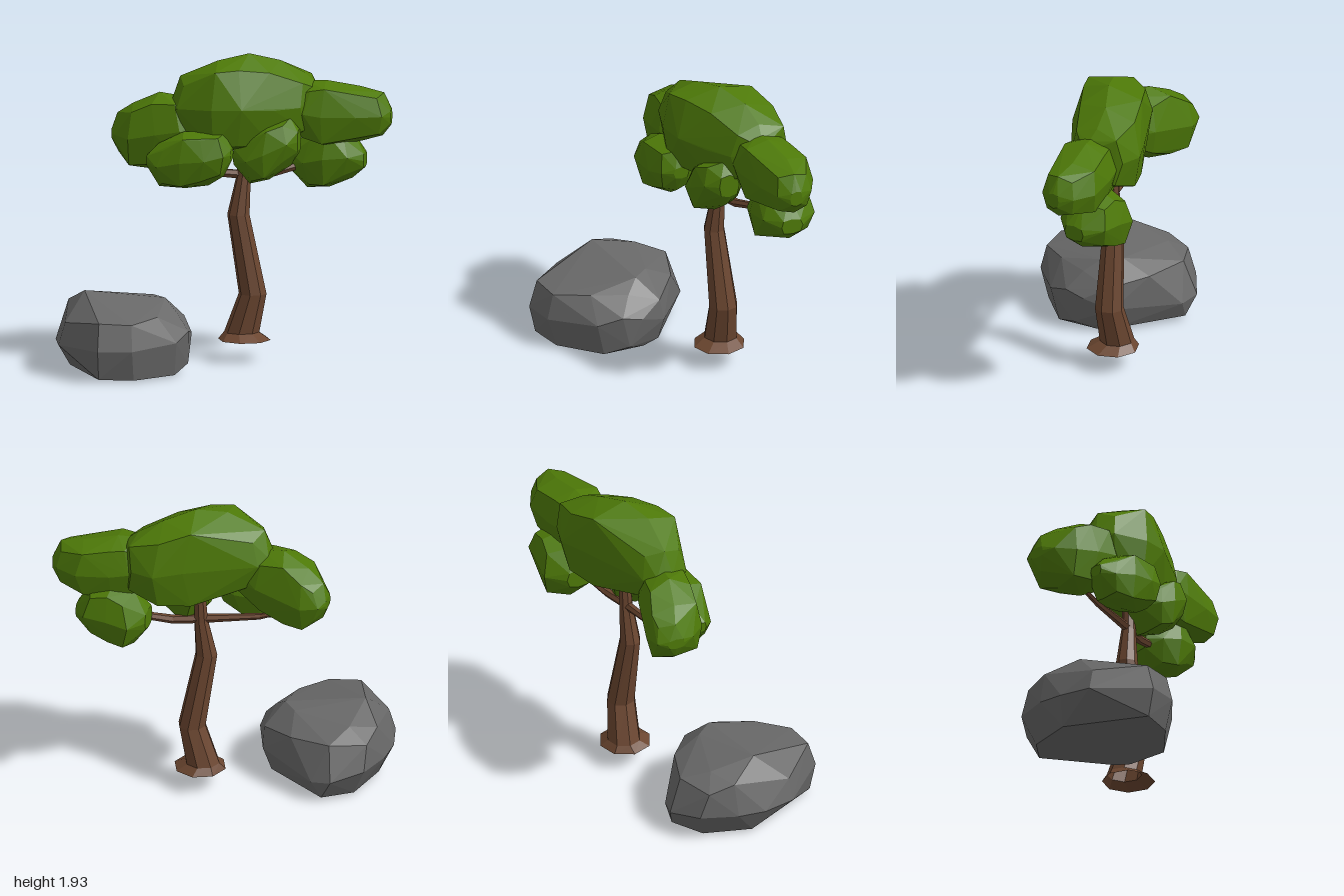
import * as THREE from 'three';
import { ConvexGeometry } from 'three/addons/geometries/ConvexGeometry.js';

const mat = (color, side = THREE.FrontSide) =>
  new THREE.MeshStandardMaterial({ color, flatShading: true, side });
const leafMat = mat(0x4e7a08);
const barkMat = mat(0x6b4630, THREE.DoubleSide);
const rockMat = mat(0x686868);

function add(group, name, geometry, material) {
  const mesh = new THREE.Mesh(geometry, material);
  mesh.name = name;
  group.add(mesh);
}

// Faceted leaf clump: hull of octagonal sections [x, yLow, yHigh, zBack, zFront]
function clump(sections) {
  const pts = [];
  sections.forEach(([x, y0, y1, z0, z1], s) => {
    const inner = s > 0 && s < sections.length - 1;
    for (let k = 0; k < 8; k++) {
      const a = k * Math.PI / 4;
      const swell = k % 2 ? 1.13 + 0.05 * Math.sin(2 * k + 3 * s) : 1;
      const skew = inner ? 0.02 * Math.sin(3 * k + 5 * s) : 0; // uneven facets
      pts.push(new THREE.Vector3(
        x + skew,
        (y0 + y1) / 2 + Math.sin(a) * swell * (y1 - y0) / 2,
        (z0 + z1) / 2 + Math.cos(a) * swell * (z1 - z0) / 2,
      ));
    }
  });
  return new ConvexGeometry(pts);
}

// Tapered limb through rings of [x, y, z, radiusX, radiusZ]
function limb(rings, sides, upright) {
  const n = rings.length - 1;
  const g = new THREE.CylinderGeometry(1, 1, 1, sides, n, true);
  const pos = g.attributes.position;
  for (let i = 0; i < pos.count; i++) {
    const [x, y, z, rx, rz] = rings[Math.round((pos.getY(i) + 0.5) * n)];
    const u = pos.getX(i), v = pos.getZ(i);
    if (upright) pos.setXYZ(i, x + u * rx, y, z + v * rz);
    else pos.setXYZ(i, x, y - u * rx, z + v * rz); // sideways, towards +x
  }
  g.computeVertexNormals();
  return g;
}

export function createModel() {
  const model = new THREE.Group();
  model.name = 'treeAndBoulder';

  // Trunk with flared, open foot
  const tree = new THREE.Group();
  tree.name = 'tree';
  model.add(tree);
  add(tree, 'trunk', limb([
    [0.105, 0.13, -0.285, 0.165, 0.165],
    [0.085, 0.175, -0.302, 0.11, 0.106],
    [0.155, 0.42, -0.292, 0.087, 0.092],
    [0.07, 0.92, -0.265, 0.07, 0.066],
    [0.1, 1.16, -0.28, 0.045, 0.045],
    [0.11, 1.42, -0.29, 0.035, 0.035],
  ], 8, true), barkMat);

  // Branches into the outer foliage
  add(tree, 'leftBranch', limb([
    [0.1, 1.17, -0.28, 0.03, 0.03],
    [0.26, 1.17, -0.34, 0.028, 0.028],
    [0.42, 1.21, -0.41, 0.024, 0.024],
    [0.6, 1.3, -0.45, 0.015, 0.015],
  ], 6, false), barkMat);
  add(tree, 'rightBranch', limb([
    [-0.4, 1.25, -0.19, 0.014, 0.014],
    [-0.26, 1.2, -0.2, 0.02, 0.02],
    [-0.08, 1.185, -0.24, 0.025, 0.025],
    [0.1, 1.17, -0.28, 0.03, 0.03],
  ], 6, false), barkMat);

  // Foliage clumps, each as sections from right to left of the model
  const foliage = {
    crownFoliage: [
      [-0.33, 1.52, 1.66, -0.26, -0.13], [-0.26, 1.43, 1.8, -0.32, -0.03],
      [-0.04, 1.34, 1.9, -0.41, 0.03], [0.12, 1.31, 1.935, -0.55, 0],
      [0.3, 1.33, 1.88, -0.63, -0.12], [0.47, 1.42, 1.8, -0.6, -0.22],
      [0.535, 1.53, 1.74, -0.48, -0.32],
    ],
    rightFoliage: [
      [-0.72, 1.38, 1.45, -0.33, -0.22], [-0.67, 1.3, 1.54, -0.39, -0.15],
      [-0.58, 1.21, 1.61, -0.42, -0.05], [-0.43, 1.2, 1.69, -0.37, -0.03],
      [-0.28, 1.27, 1.67, -0.35, -0.03], [-0.13, 1.38, 1.57, -0.28, -0.12],
    ],
    frontRightFoliage: [
      [-0.46, 1.26, 1.33, -0.06, 0.03], [-0.37, 1.13, 1.4, -0.13, 0.09],
      [-0.23, 1.12, 1.475, -0.17, 0.115], [-0.1, 1.14, 1.48, -0.18, 0.11],
      [0.01, 1.2, 1.475, -0.15, 0.07], [0.065, 1.3, 1.38, -0.1, 0],
    ],
    frontFoliage: [
      [0.06, 1.25, 1.37, -0.26, -0.12], [0.17, 1.13, 1.45, -0.34, -0.04],
      [0.27, 1.16, 1.51, -0.35, -0.03], [0.39, 1.25, 1.55, -0.33, -0.07],
      [0.46, 1.33, 1.48, -0.28, -0.15],
    ],
    leftFoliage: [
      [0.36, 1.42, 1.68, -0.52, -0.27], [0.5, 1.38, 1.75, -0.57, -0.23],
      [0.6, 1.34, 1.755, -0.6, -0.24], [0.79, 1.37, 1.715, -0.635, -0.29],
      [0.94, 1.41, 1.68, -0.57, -0.34], [1, 1.48, 1.58, -0.49, -0.41],
    ],
    lowLeftFoliage: [
      [0.38, 1.17, 1.3, -0.56, -0.4], [0.48, 1.06, 1.42, -0.68, -0.33],
      [0.6, 1.07, 1.47, -0.68, -0.3], [0.73, 1.13, 1.43, -0.67, -0.33],
      [0.83, 1.2, 1.3, -0.56, -0.42],
    ],
  };
  for (const [name, sections] of Object.entries(foliage)) add(tree, name, clump(sections), leafMat);

  // Boulder as a hull: top, shoulder, waist and foot corners
  const corners = [
    [-0.82, 0.5, 0.2], [-0.42, 0.45, 0], [-0.33, 0.45, 0.1], [-0.8, 0.44, -0.08],
    [-0.95, 0.41, 0.02], [-0.93, 0.36, -0.14], [-0.72, 0.38, -0.25], [-0.25, 0.38, 0.18],
    [-0.33, 0.38, 0.4], [-0.66, 0.37, 0.63], [-0.46, 0.36, 0.6], [-0.91, 0.33, 0.4],
    [-1, 0.2, 0.03], [-1, 0.19, 0.21], [-0.93, 0.2, -0.2], [-0.75, 0.16, -0.33],
    [-0.62, 0.14, -0.31], [-0.16, 0.27, 0.25], [-0.16, 0.24, 0.12], [-0.21, 0.22, 0.4],
    [-0.45, 0.2, 0.64], [-0.66, 0.2, 0.68], [-0.95, 0.19, 0.41], [-0.17, 0.06, 0.2],
    [-0.23, 0.01, 0.35], [-0.25, 0.01, 0.08], [-0.45, 0.01, 0.58], [-0.66, 0.02, 0.64],
    [-0.84, 0.12, 0.47], [-0.92, 0.02, 0.15], [-0.85, 0.02, -0.15], [-0.68, 0.03, -0.29],
    [-0.55, 0, 0], [-0.23, 0.32, -0.02], [-0.23, 0.18, -0.05], [-0.28, 0.03, -0.03],
    [-0.45, 0.36, -0.18],
  ].map((c) => new THREE.Vector3(...c));
  add(model, 'boulder', new ConvexGeometry(corners), rockMat);

  return model;
}
